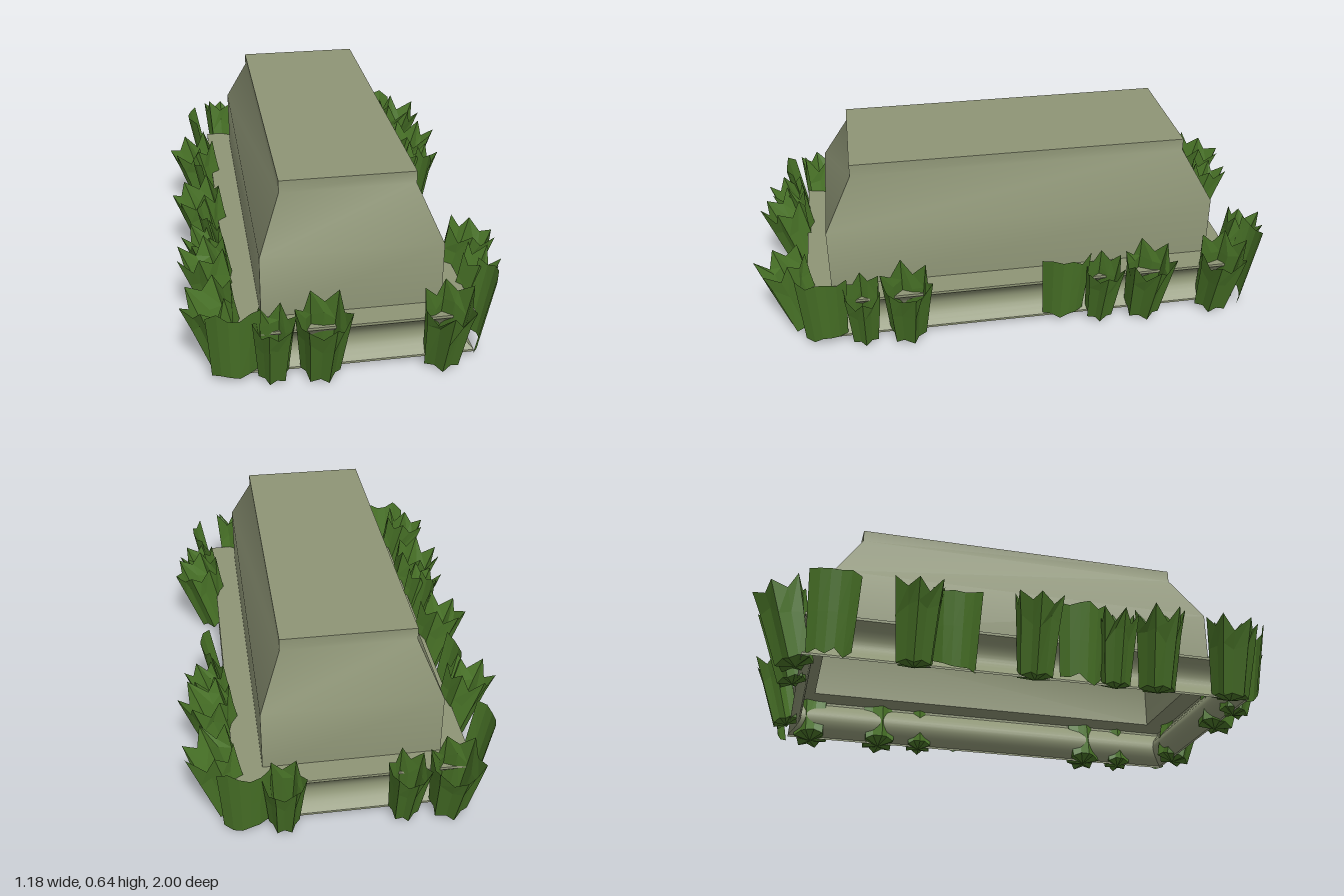
import * as THREE from 'three';
import { toCreasedNormals } from 'three/addons/utils/BufferGeometryUtils.js';

const stone = new THREE.MeshStandardMaterial({ color: 0x8e9576, side: THREE.DoubleSide });
stone.name = 'mossy stone';
const grass = new THREE.MeshStandardMaterial({ color: 0x4a7528, side: THREE.DoubleSide, flatShading: true });
grass.name = 'grass green';

// small seeded random
let seed = 7;
const rnd = (a, b) => {
  seed = (seed * 16807) % 2147483647;
  return a + (b - a) * (seed / 2147483647);
};

const fromTriangles = (pos) => {
  const g = new THREE.BufferGeometry();
  g.setAttribute('position', new THREE.Float32BufferAttribute(pos, 3));
  g.computeVertexNormals();
  return g;
};

// stacks rectangles given as [halfX, halfZ, y] into a shell, open at the bottom
function rectShell(profile, capped) {
  const pos = [];
  const corner = ([hx, hz, y], i) => {
    const [sx, sz] = [[1, 1], [1, -1], [-1, -1], [-1, 1]][i % 4];
    return [sx * hx, y, sz * hz];
  };
  for (let r = 0; r < profile.length - 1; r++) {
    for (let i = 0; i < 4; i++) {
      const a = corner(profile[r], i), b = corner(profile[r], i + 1);
      const c = corner(profile[r + 1], i + 1), d = corner(profile[r + 1], i);
      pos.push(...a, ...b, ...c, ...a, ...c, ...d);
    }
  }
  if (capped) {
    const [a, b, c, d] = [0, 1, 2, 3].map((i) => corner(profile.at(-1), i));
    pos.push(...a, ...b, ...c, ...a, ...c, ...d);
  }
  return toCreasedNormals(fromTriangles(pos), 0.7);
}

// open cup of pleated leaves with a jagged rim
function tuftGeometry(width) {
  const n = 12, pos = [], spin = rnd(0, 6);
  const rings = [[], [], []];
  for (let i = 0; i < n; i++) {
    const tip = i % 2 === 0, a = spin + (i / n) * Math.PI * 2 + rnd(-0.08, 0.08);
    const at = (r, y) => [Math.sin(a) * r * width, y, Math.cos(a) * r * width];
    rings[0].push(at(tip ? 0.068 : 0.055, tip ? 0 : 0.012));
    rings[1].push(at(tip ? 0.084 : 0.066, rnd(0.16, 0.22)));
    rings[2].push(at(tip ? 0.096 : 0.078, tip ? rnd(0.285, 0.312) : rnd(0.235, 0.265)));
  }
  const root = [0, -0.01, 0];
  for (let i = 0; i < n; i++) {
    const j = (i + 1) % n;
    pos.push(...root, ...rings[0][j], ...rings[0][i]);
    for (let r = 0; r < 2; r++) {
      const a = rings[r][i], b = rings[r][j], c = rings[r + 1][j], d = rings[r + 1][i];
      pos.push(...a, ...b, ...c, ...a, ...c, ...d);
    }
  }
  return fromTriangles(pos);
}

// single broad leaf, gently bowed, with ragged ends
function leafGeometry() {
  const g = new THREE.PlaneGeometry(0.17, 0.28, 5, 2);
  const p = g.attributes.position;
  for (let i = 0; i < p.count; i++) {
    const x = p.getX(i), y = p.getY(i) + 0.14;
    const ragged = y < 0.01 || y > 0.27 ? rnd(-0.02, 0.02) : 0;
    p.setXYZ(i, x * (0.9 + y * 0.6), y + ragged + 0.01, 0.025 - 5 * x * x);
  }
  g.computeVertexNormals();
  return g;
}

// walls: outward direction and distance of each side of the plinth
const WALLS = {
  front: { turn: 0, place: (t) => [t, 0.83] },
  back: { turn: Math.PI, place: (t) => [t, -0.825] },
  left: { turn: Math.PI / 2, place: (t) => [0.415, t] },
  right: { turn: -Math.PI / 2, place: (t) => [-0.425, t] },
};

// plants along each wall: [position along wall, kind]
const PLANTS = {
  front: [[-0.42, 'leaf'], [-0.29, 'small'], [-0.13, 'big'], [0.29, 'big']],
  back: [[-0.33, 'big'], [-0.17, 'small'], [0.25, 'small'], [0.38, 'leaf']],
  left: [[-0.72, 'big'], [-0.44, 'big'], [-0.27, 'small'], [-0.13, 'leaf'],
    [0.46, 'big'], [0.62, 'small'], [0.76, 'leaf']],
  right: [[-0.72, 'leaf'], [-0.43, 'big'], [-0.29, 'leaf'], [0, 'big'], [0.17, 'leaf'],
    [0.3, 'small'], [0.46, 'big'], [0.75, 'big']],
};

export function createModel() {
  seed = 7;
  const model = new THREE.Group();
  model.name = 'stoneTomb';

  // plinth with a hollow moulding and a ledge reaching in to the body
  const plinthProfile = [[0.415, 0.815, 0.02]];
  for (let i = 0; i <= 10; i++) {
    const inset = 0.045 * Math.sin((i / 10) * Math.PI);
    plinthProfile.push([0.415 - inset, 0.815 - inset, 0.028 + 0.142 * (i / 10)]);
  }
  plinthProfile.push([0.415, 0.815, 0.18], [0.315, 0.725, 0.18]);
  const plinth = new THREE.Mesh(rectShell(plinthProfile, false), stone);
  plinth.name = 'plinth';

  // body with sloping shoulders and a flat lid
  const body = new THREE.Mesh(rectShell([
    [0.315, 0.725, 0.18], [0.315, 0.725, 0.41], [0.235, 0.622, 0.595], [0.235, 0.622, 0.64],
  ], true), stone);
  body.name = 'body';
  for (const m of [plinth, body]) {
    m.position.set(-0.004, 0, 0.006);
    model.add(m);
  }

  // grass leaning outward around the plinth
  for (const [side, list] of Object.entries(PLANTS)) {
    const { turn, place } = WALLS[side];
    for (const [t, kind] of list) {
      const geometry = kind === 'leaf' ? leafGeometry() : tuftGeometry(kind === 'big' ? 1 : 0.78);
      const plant = new THREE.Mesh(geometry, grass);
      plant.name = kind === 'leaf' ? 'grassLeaf' : 'grassTuft';
      const [x, z] = place(t);
      plant.position.set(x, 0.02, z);
      plant.rotation.set(kind === 'leaf' ? 0.18 : 0.267, turn, 0, 'YXZ');
      if (kind === 'small') plant.scale.y = 0.92;
      model.add(plant);
    }
  }
  return model;
}
